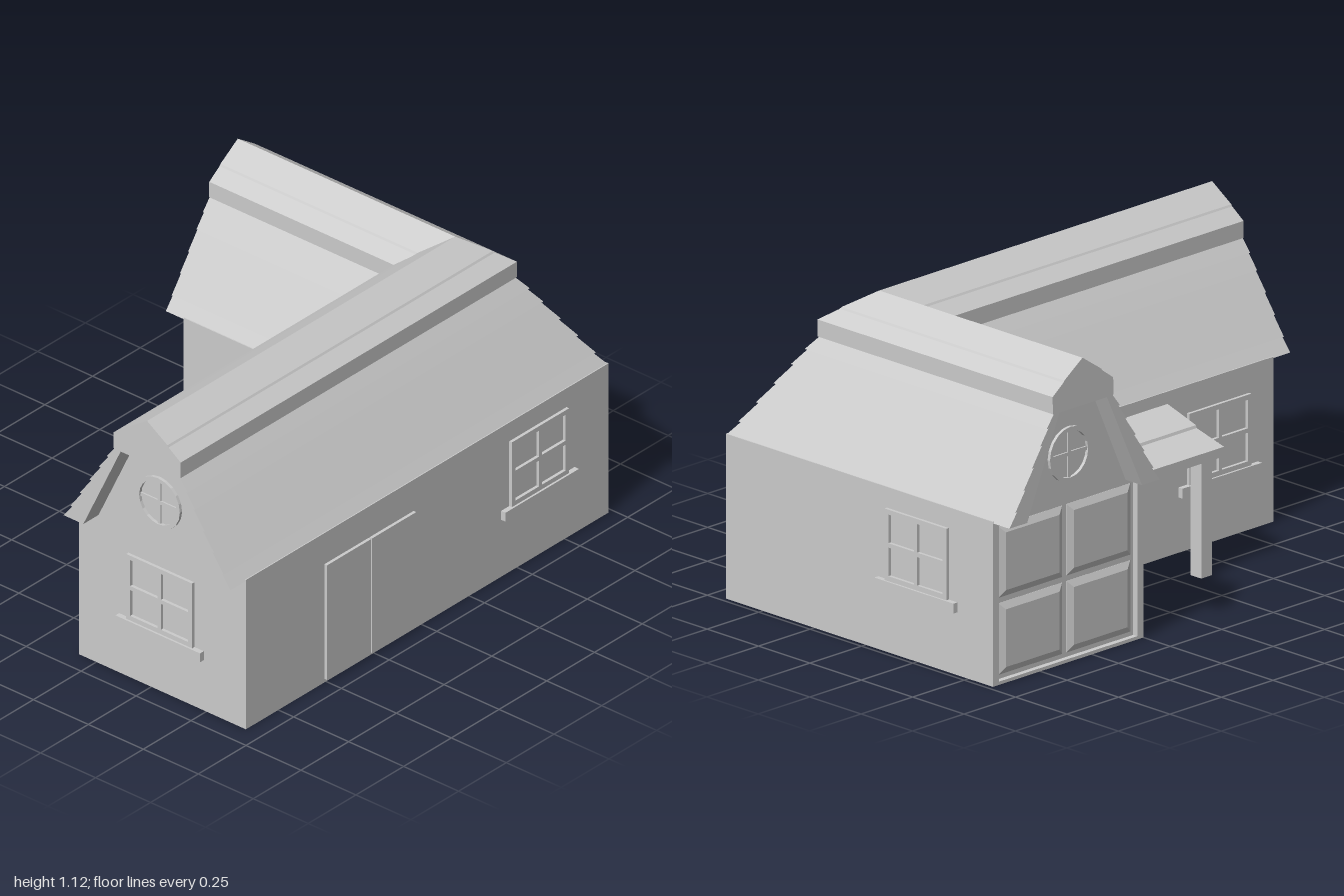
import * as THREE from 'three';

const mat = new THREE.MeshStandardMaterial({ color: 0xcccccc, flatShading: true });
const FRONT = 0, LEFT = Math.PI / 2, BACK = Math.PI, RIGHT = -Math.PI / 2;
const RIDGE_X = 0.3, RIDGE_Z = -0.615, SQUEEZE = 0.96;

function mesh(name, geometry, parent, x = 0, y = 0, z = 0) {
  const m = new THREE.Mesh(geometry, mat);
  m.name = name;
  m.position.set(x, y, z);
  parent.add(m);
  return m;
}

const box = (name, parent, w, h, d, x, y, z) =>
  mesh(name, new THREE.BoxGeometry(w, h, d), parent, x, y, z);

// Group whose local +z points out of a wall
function onWall(name, parent, x, y, z, angle) {
  const g = new THREE.Group();
  g.name = name;
  g.position.set(x, y, z);
  g.rotation.y = angle;
  parent.add(g);
  return g;
}

const polygon = pts => new THREE.Shape(pts.map(p => new THREE.Vector2(p[0], p[1])));
const rect = (x0, y0, x1, y1) => [[x0, y0], [x1, y0], [x1, y1], [x0, y1]];
const extrude = (shape, depth) =>
  new THREE.ExtrudeGeometry(shape, { depth, bevelEnabled: false, curveSegments: 10 });

// Four-pane window with a sill
function addWindow(name, parent, x, y, z, angle) {
  const g = onWall(name, parent, x, y, z, angle);
  const w = 0.15, h = 0.13, rim = 0.018, bar = 0.008;
  const frame = polygon(rect(-w, -h, w, h));
  for (const [x0, x1] of [[-w + rim, -bar], [bar, w - rim]])
    for (const [y0, y1] of [[-h + rim, -bar], [bar, h - rim]])
      frame.holes.push(polygon(rect(x0, y0, x1, y1)));
  mesh('windowFrame', extrude(frame, 0.012), g);
  box('windowSill', g, 0.385, 0.036, 0.04, 0, -h - 0.018, 0);
}

// Round gable window with a thin cross
function addRoundWindow(parent, x, y, z, angle) {
  const g = onWall('roundWindow', parent, x, y, z, angle);
  const ring = new THREE.Shape().absarc(0, 0, 0.1, 0, Math.PI * 2);
  ring.holes.push(new THREE.Path().absarc(0, 0, 0.085, 0, Math.PI * 2));
  mesh('roundFrame', extrude(ring, 0.012), g);
  box('verticalBar', g, 0.014, 0.175, 0.012, 0, 0, 0);
  box('horizontalBar', g, 0.175, 0.014, 0.012, 0, 0, 0);
}

// Half of the roof outline: overlapping boards, then the ridge cap
function roofProfile() {
  const rows = [0.595, 0.645, 0.715, 0.785, 0.855, 0.91, 0.955];
  const slope = y => 0.37 - (y - 0.595) * 0.62;
  const pts = [];
  for (let i = 0; i < rows.length - 1; i++) {
    pts.push([slope(rows[i]) + 0.01, rows[i]]);
    pts.push([slope(rows[i + 1]) + 0.002, rows[i + 1]]);
  }
  pts.push([0.153, 0.956], [0.153, 1.018], [0.098, 1.057], [0.093, 1.064]);
  return pts;
}

// Roof section swept around the corner with a mitre
function roofGeometry() {
  const half = roofProfile();
  const section = [
    ...half, [0, 1.125],
    ...half.map(([d, y]) => [-d, y]).reverse(),
    [-0.29, 0.595], [-0.12, 0.954], [0.12, 0.954], [0.29, 0.595],
  ];
  const across = d => RIDGE_Z - d * SQUEEZE;
  const stations = [
    ([d, y]) => [RIDGE_X + d, y, 1],
    ([d, y]) => [RIDGE_X + d, y, across(d)],
    ([d, y]) => [-0.7 + Math.max(0, y - 0.6) * 0.02, y, across(d)],
  ];
  const out = [];
  const tri = (a, b, c) => out.push(...a, ...b, ...c);
  for (let s = 0; s < 2; s++) {
    section.forEach((p, i) => {
      const q = section[(i + 1) % section.length];
      const a = stations[s](p), b = stations[s + 1](p);
      const c = stations[s + 1](q), d = stations[s](q);
      tri(a, b, c);
      tri(a, c, d);
    });
  }
  // Close both gable ends
  const contour = section.map(p => new THREE.Vector2(p[0], p[1]));
  for (const [i, j, k] of THREE.ShapeUtils.triangulateShape(contour, [])) {
    tri(...[i, j, k].map(n => stations[0](section[n])));
    tri(...[k, j, i].map(n => stations[2](section[n])));
  }
  const g = new THREE.BufferGeometry();
  g.setAttribute('position', new THREE.Float32BufferAttribute(out, 3));
  g.computeVertexNormals();
  return g;
}

// Wide recessed door with four bevelled panels
function addBarnDoor(parent) {
  const g = onWall('barnDoor', parent, -0.6, 0, RIDGE_Z, RIGHT);
  const surround = polygon(rect(-0.365, 0, 0.365, 0.6));
  surround.holes.push(polygon(rect(-0.335, 0.012, 0.335, 0.585)));
  mesh('doorSurround', extrude(surround, 0.02), g);
  const bevel = 0.025;
  const panel = new THREE.ExtrudeGeometry(
    polygon(rect(-0.155 + bevel, -0.13 + bevel, 0.155 - bevel, 0.13 - bevel)),
    { depth: 0.001, bevelSize: bevel, bevelThickness: 0.012, bevelSegments: 1 });
  for (const x of [-0.165, 0.165])
    for (const y of [0.158, 0.438]) mesh('doorPanel', panel, g, x, y, 0);
}

export function createModel() {
  const model = new THREE.Group();
  model.name = 'barn';

  // L-shaped walls
  const plan = polygon([[-0.6, 0.98], [-0.6, 0.25], [-0.08, 0.25],
    [-0.08, -0.92], [0.68, -0.92], [0.68, 0.98]]);
  const walls = extrude(plan, 0.6);
  walls.rotateX(-Math.PI / 2);
  mesh('walls', walls, model);

  // Gable walls, tucked just inside the roof underside
  const gable = extrude(polygon([[-0.3, 0.59], [0.3, 0.59], [0.127, 0.96], [-0.127, 0.96]]), 0.5);
  mesh('frontGable', gable, onWall('frontGableEnd', model, RIDGE_X, 0, 0.42, FRONT));
  mesh('sideGable', gable, onWall('sideGableEnd', model, -0.12, 0, RIDGE_Z, RIGHT));

  mesh('roof', roofGeometry(), model);

  // Windows
  addWindow('frontWindow', model, 0.296, 0.368, 0.92, FRONT);
  addWindow('leftWindow', model, 0.68, 0.395, -0.61, LEFT);
  addWindow('backWindow', model, -0.255, 0.395, -0.98, BACK);
  addWindow('rightWindow', model, -0.08, 0.368, 0.65, RIGHT);
  addRoundWindow(model, 0.29, 0.76, 0.92, FRONT);
  addRoundWindow(model, -0.62, 0.76, RIDGE_Z, RIGHT);

  addBarnDoor(model);

  // Double door on the long wall
  const double = onWall('doubleDoor', model, 0.68, 0.245, 0.275, LEFT);
  for (const side of [-1, 1])
    box('doorLeaf', double, 0.232, 0.46, 0.024, side * 0.118, 0, 0);

  // Porch door
  const porchDoor = onWall('porchDoor', model, -0.08, 0, 0.145, RIGHT);
  const casing = polygon(rect(-0.13, 0.005, 0.13, 0.49));
  casing.holes.push(polygon(rect(-0.11, 0.006, 0.11, 0.47)));
  mesh('doorCasing', extrude(casing, 0.012), porchDoor);
  box('doorLeaf', porchDoor, 0.21, 0.46, 0.012, 0, 0.236, 0);
  mesh('doorKnob', new THREE.SphereGeometry(0.014, 10, 8), porchDoor, 0.08, 0.205, 0.018);

  // Porch canopy on two posts
  const canopy = polygon([[-0.355, 0.432], [-0.08, 0.432], [-0.08, 0.555],
    [-0.218, 0.512], [-0.222, 0.502], [-0.355, 0.467]]);
  mesh('porchCanopy', extrude(canopy, 0.515), model, 0, 0, -0.11);
  for (const z of [-0.06, 0.35]) box('porchPost', model, 0.052, 0.435, 0.052, -0.3, 0.2175, z);

  return model;
}
